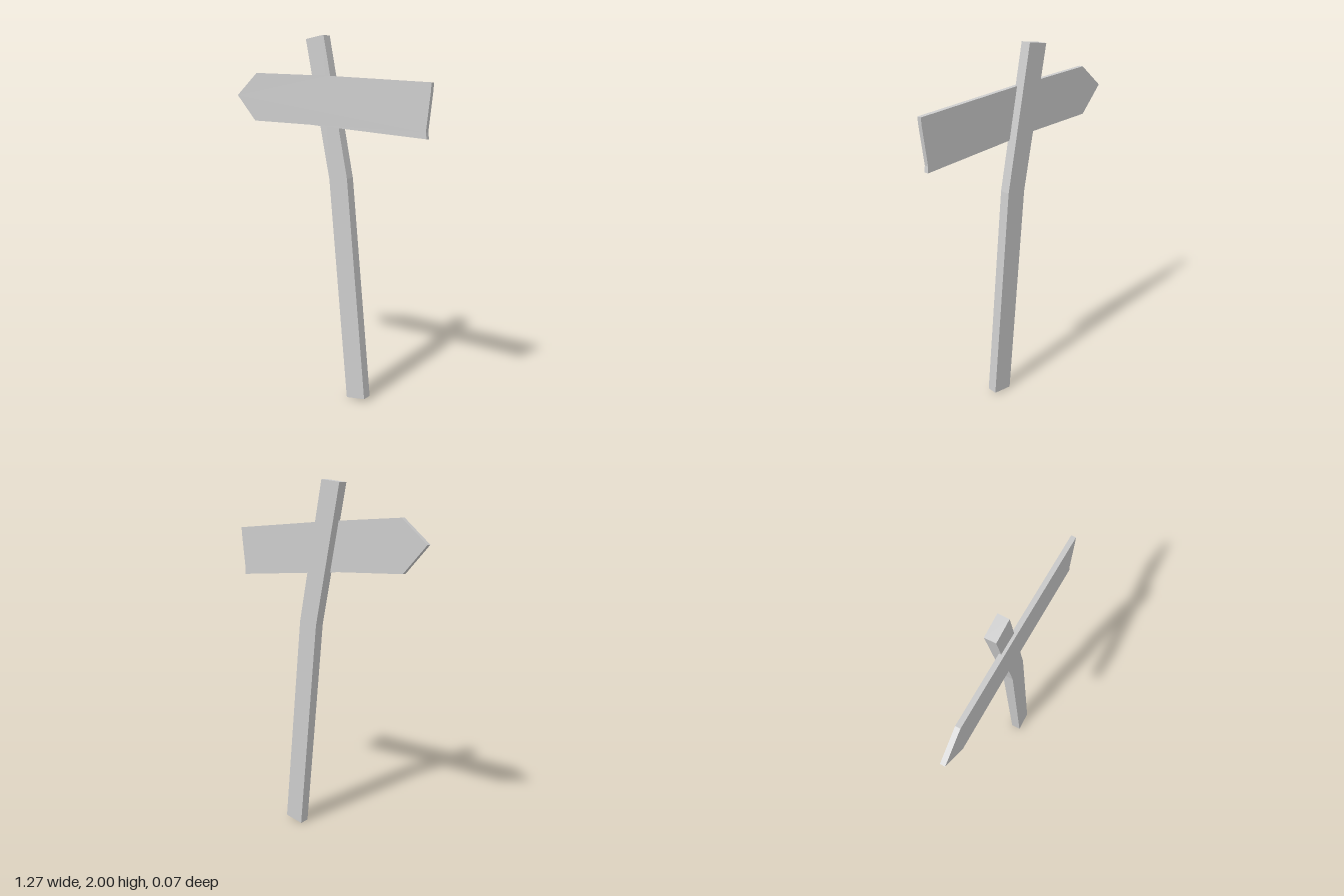
import * as THREE from 'three';

// Flat board cut from an outline, spanning zBack to zFront
function board(name, points, zBack, zFront) {
  const shape = new THREE.Shape(points.map(([x, y]) => new THREE.Vector2(x, y)));
  const geometry = new THREE.ExtrudeGeometry(shape, {
    depth: zFront - zBack,
    bevelEnabled: false,
  });
  geometry.translate(0, 0, zBack);
  const material = new THREE.MeshStandardMaterial({ color: 0xcccccc, flatShading: true });
  const mesh = new THREE.Mesh(geometry, material);
  mesh.name = name;
  return mesh;
}

export function createModel() {
  const group = new THREE.Group();
  group.name = 'signpost';

  // Crooked post, bent above the middle
  group.add(board('post', [
    [0.14, 0], [0.256, 0.017], [0.134, 1.24],
    [-0.021, 2], [-0.139, 1.985], [0.018, 1.23],
  ], -0.037, 0.021));

  // Arrow board pointing to the model's right, with a worn square end
  group.add(board('arrowBoard', [
    [-0.637, 1.693], [-0.503, 1.545], [-0.1, 1.525], [0.613, 1.462],
    [0.608, 1.495], [0.63, 1.69], [0.633, 1.735], [0.01, 1.785], [-0.487, 1.816],
  ], 0.01, 0.036));

  return group;
}
